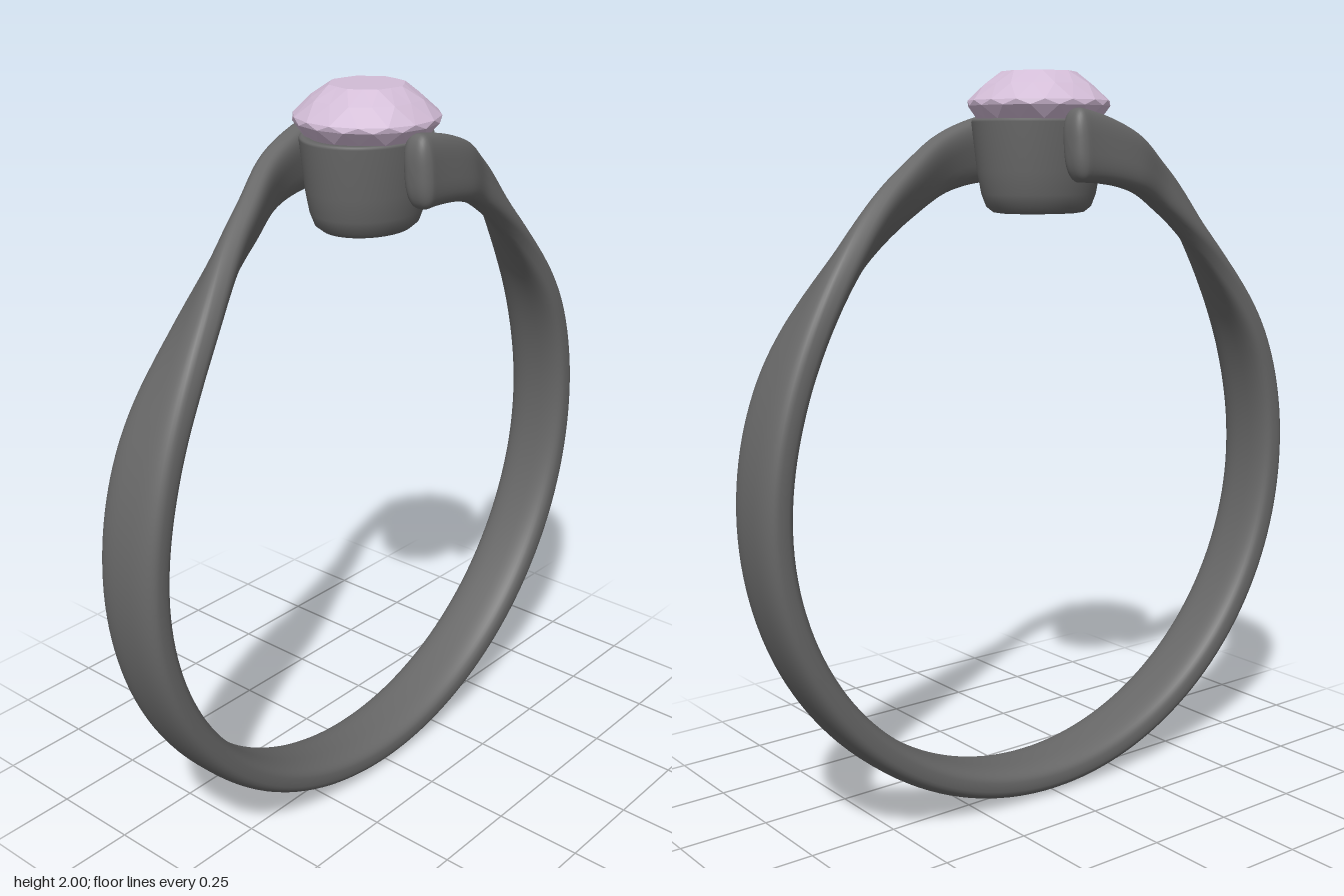
import * as THREE from 'three';
import { mergeGeometries, mergeVertices } from 'three/addons/utils/BufferGeometryUtils.js';

const V = (x, y, z) => new THREE.Vector3(x, y, z);
const spline = (points) => new THREE.CatmullRomCurve3(points.map((p) => V(...p)), false, 'catmullrom', 0.5);
const CENTRE_Y = 0.9;

// Half of the band, from its tip beside the setting down to the bottom of the ring
function halfBand() {
  // angle from the top, radius, z offset
  const place = spline([[-0.02, 0.908, 0.19], [0.22, 0.888, 0.155], [0.45, 0.87, 0.08], [0.8, 0.857, 0.012],
    [1.2, 0.855, 0], [1.8, 0.855, 0], [2.5, 0.855, 0], [Math.PI, 0.855, 0]]);
  // half width, half thickness, twist
  const shape = spline([[0.095, 0.042, 1.5], [0.08, 0.038, 1.32], [0.073, 0.037, 1.05], [0.084, 0.042, 0.42],
    [0.095, 0.045, 0], [0.096, 0.045, 0], [0.096, 0.045, 0], [0.096, 0.045, 0]]);
  const around = 40, steps = 120, capSteps = 8, capDepth = 0.035;
  const pos = [], index = [];

  const addRing = (u, scale, push) => {
    const { x: a, y: r, z } = place.getPoint(u);
    const { x: w, y: h, z: twist } = shape.getPoint(u);
    const radial = V(Math.sin(a), Math.cos(a), 0);
    const centre = radial.clone().multiplyScalar(r).add(V(-push * Math.cos(a), CENTRE_Y + push * Math.sin(a), z));
    const wide = radial.clone().multiplyScalar(Math.sin(twist)).add(V(0, 0, -Math.cos(twist)));
    const out = radial.clone().multiplyScalar(Math.cos(twist)).add(V(0, 0, Math.sin(twist)));
    // rounded rectangle section
    const bulge = (v) => Math.sign(v) * Math.abs(v) ** 0.7;
    for (let j = 0; j < around; j++) {
      const t = (j / around) * Math.PI * 2;
      const p = centre.clone()
        .addScaledVector(wide, bulge(Math.cos(t)) * w * scale)
        .addScaledVector(out, bulge(Math.sin(t)) * h * scale);
      pos.push(p.x, p.y, p.z);
    }
  };

  // rounded tip, then the sweep
  for (let i = 0; i < capSteps; i++) {
    const t = (i / capSteps) * Math.PI / 2;
    addRing(0, Math.max(0.01, Math.sin(t) ** 0.7), capDepth * Math.cos(t));
  }
  for (let i = 0; i <= steps; i++) addRing(i / steps, 1, 0);

  for (let i = 0; i < capSteps + steps; i++) {
    for (let j = 0; j < around; j++) {
      const k = (j + 1) % around;
      const a = i * around + j, b = i * around + k, c = a + around, d = b + around;
      index.push(a, b, c, b, d, c);
    }
  }
  const g = new THREE.BufferGeometry();
  g.setAttribute('position', new THREE.Float32BufferAttribute(pos, 3));
  g.setIndex(index);
  return g;
}

// Faceted stone: rings from the table down to the culet, each turned half a step
function stoneGeometry() {
  const n = 16;
  // even radius, odd radius, height
  const rings = [[0.002, 0.002, 2], [0.1, 0.094, 2], [0.148, 0.142, 1.966], [0.19, 0.19, 1.924],
    [0.19, 0.19, 1.91], [0.165, 0.158, 1.876], [0.09, 0.09, 1.8], [0.002, 0.002, 1.74]];
  const point = (k, i) => {
    const t = ((i + k / 2) / n) * Math.PI * 2;
    const [even, odd, y] = rings[k];
    const r = i % 2 ? odd : even;
    return [Math.sin(t) * r, y, Math.cos(t) * r];
  };
  const pos = [];
  for (let k = 0; k < rings.length - 1; k++) {
    for (let i = 0; i < n; i++) {
      pos.push(...point(k + 1, i), ...point(k, i + 1), ...point(k, i));
      pos.push(...point(k + 1, i), ...point(k + 1, i + 1), ...point(k, i + 1));
    }
  }
  const g = new THREE.BufferGeometry();
  g.setAttribute('position', new THREE.Float32BufferAttribute(pos, 3));
  g.computeVertexNormals();
  return g;
}

export function createModel() {
  const group = new THREE.Group();
  const metal = new THREE.MeshStandardMaterial({ color: 0x686868 });
  const gem = new THREE.MeshStandardMaterial({ color: 0xd2bcd6, flatShading: true });
  const add = (name, geometry, material) => {
    const mesh = new THREE.Mesh(geometry, material);
    mesh.name = name;
    group.add(mesh);
    return mesh;
  };

  // Bypass band: the second half is the first turned about the vertical axis
  const half = halfBand();
  const bandGeometry = mergeVertices(mergeGeometries([half, half.clone().rotateY(Math.PI)]), 1e-4);
  bandGeometry.computeVertexNormals();
  add('band', bandGeometry, metal);

  // Hollow cup holding the stone, slightly narrower from front to back
  const profile = [[0, 1.63], [0.11, 1.63], [0.13, 1.633], [0.15, 1.648], [0.163, 1.68], [0.175, 1.74],
    [0.19, 1.868], [0.188, 1.874], [0.182, 1.876], [0.165, 1.875], [0.16, 1.87], [0.12, 1.76], [0, 1.72]];
  const cup = add('settingCup', new THREE.LatheGeometry(profile.map((p) => new THREE.Vector2(...p)), 64), metal);
  cup.scale.z = 0.84;

  add('stone', stoneGeometry(), gem);
  return group;
}
